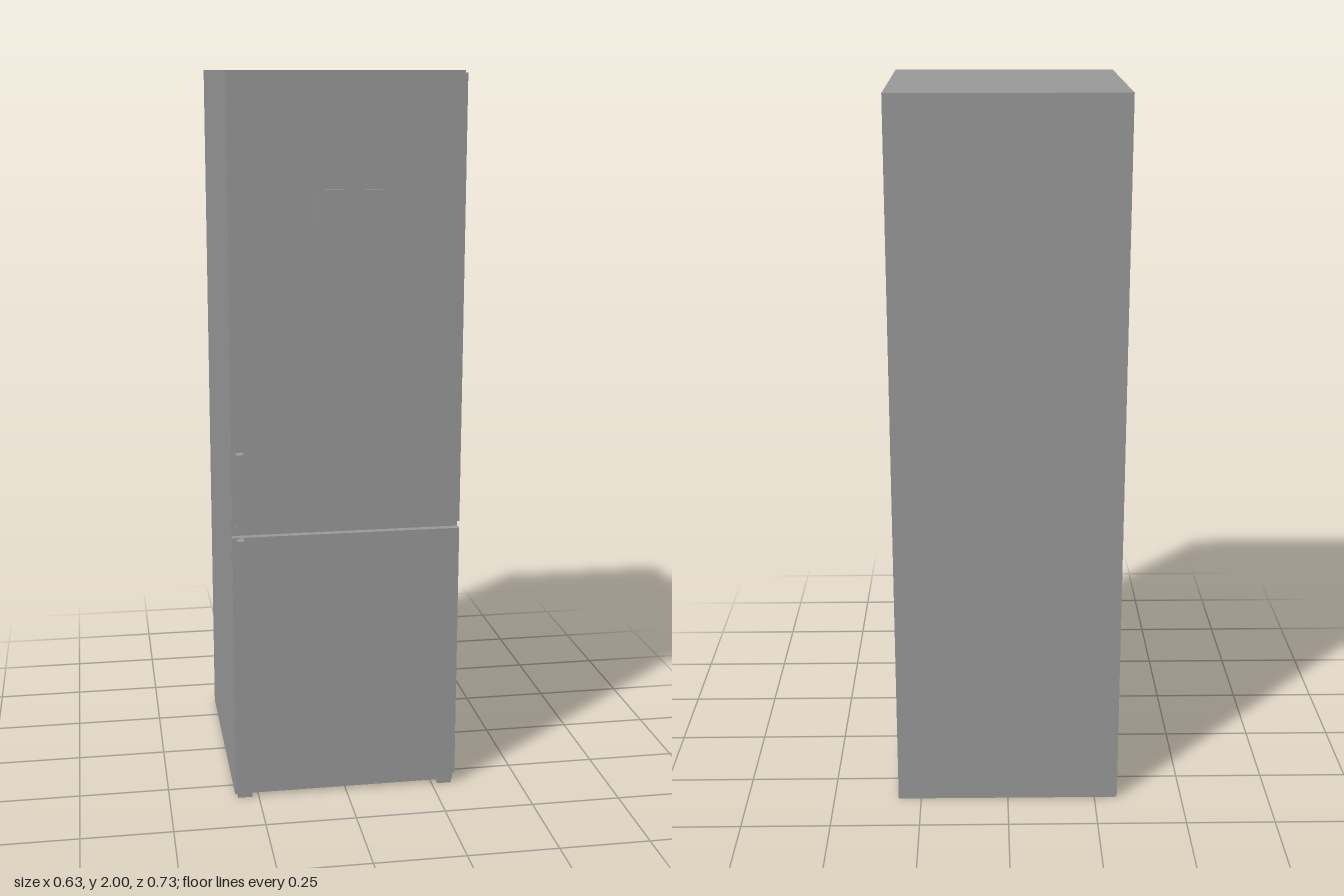
import * as THREE from 'three';

export function createModel() {
  const model = new THREE.Group();
  const material = new THREE.MeshStandardMaterial({ color: 0x9a9a9a });

  // Box given by its lower and upper bounds on each axis
  function box(name, [x0, x1], [y0, y1], [z0, z1]) {
    const mesh = new THREE.Mesh(new THREE.BoxGeometry(x1 - x0, y1 - y0, z1 - z0), material);
    mesh.position.set((x0 + x1) / 2, (y0 + y1) / 2, (z0 + z1) / 2);
    mesh.name = name;
    model.add(mesh);
  }

  const width = [-0.315, 0.315];
  const doorDepth = [0.314, 0.335];

  // Cabinet and the two doors, set off by a thin gap
  box('cabinet', width, [0.001, 2], [-0.363, 0.308]);
  box('upperDoor', width, [0.786, 1.994], doorDepth);
  box('lowerDoor', width, [0.032, 0.766], doorDepth);

  // Control panel on the upper door
  box('controlPanel', [-0.09, 0.09], [1.597, 1.698], [0.335, 0.343]);

  // Feet under the lower door
  box('rightFoot', [-0.309, -0.268], [0, 0.032], [0.318, 0.331]);
  box('leftFoot', [0.265, 0.306], [0, 0.032], [0.318, 0.331]);

  // Bracket handles: a C profile in depth and height, extruded across x
  function handle(name, y0, y1) {
    const back = 0.335, front = 0.363, t = 0.01;
    const profile = new THREE.Shape([
      [back, y0], [front, y0], [front, y1], [back, y1],
      [back, y1 - t], [front - t, y1 - t], [front - t, y0 + t], [back, y0 + t],
    ].map(([z, y]) => new THREE.Vector2(-z, y)));
    const geometry = new THREE.ExtrudeGeometry(profile, { depth: 0.02, bevelEnabled: false });
    geometry.rotateY(Math.PI / 2); // shape x becomes -z, depth becomes +x
    const mesh = new THREE.Mesh(geometry, material);
    mesh.position.x = -0.304;
    mesh.name = name;
    model.add(mesh);
  }
  handle('upperHandle', 0.793, 1.004);
  handle('lowerHandle', 0.554, 0.764);

  return model;
}
